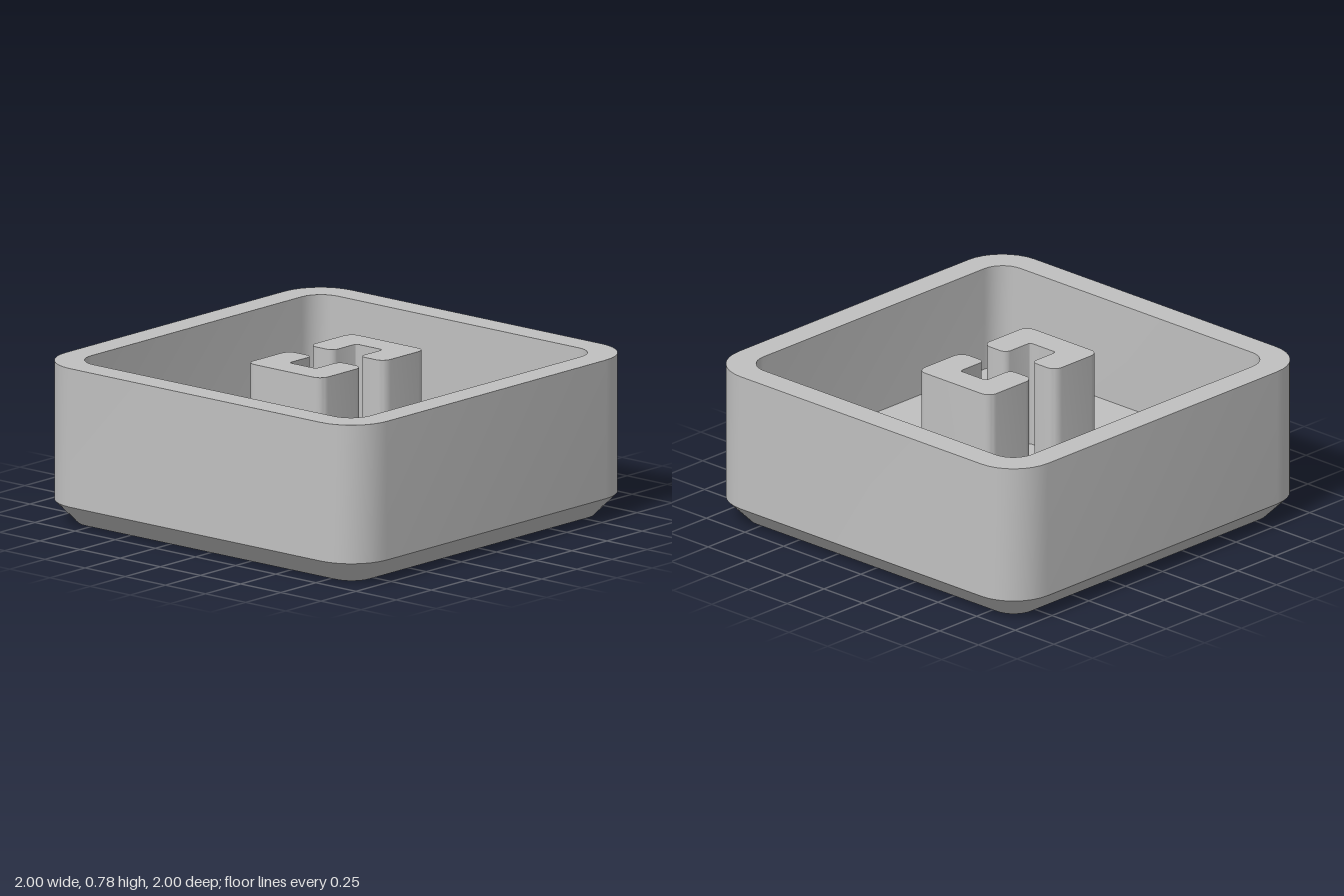
import * as THREE from 'three';
import { toCreasedNormals } from 'three/addons/utils/BufferGeometryUtils.js';

const grey = new THREE.MeshStandardMaterial({ color: 0xc0c0c0 });
grey.name = 'light grey';

// Outline of a right-angled polygon; each corner is [x, z, radius]
function filleted(corners, segments = 8) {
  const points = [];
  corners.forEach(([x, z, r], i) => {
    const n = corners.length;
    const p = new THREE.Vector2(x, z);
    const before = new THREE.Vector2(...corners[(i + n - 1) % n].slice(0, 2)).sub(p).normalize();
    const after = new THREE.Vector2(...corners[(i + 1) % n].slice(0, 2)).sub(p).normalize();
    const centre = p.clone().addScaledVector(before, r).addScaledVector(after, r);
    for (let k = 0; k <= segments; k++) {
      const t = (k / segments) * Math.PI / 2;
      points.push(centre.clone()
        .addScaledVector(after, -r * Math.cos(t))
        .addScaledVector(before, -r * Math.sin(t)));
    }
  });
  return points;
}

const square = (h, r) => filleted([[h, -h, r], [h, h, r], [-h, h, r], [-h, -h, r]]);

// Skin through a series of rounded squares [half size, corner radius, height]
function loft(rings) {
  const loops = rings.map(([h, r, y]) => square(h, r).map(p => [p.x, y, p.y]));
  const pos = [];
  for (let j = 0; j < loops.length - 1; j++) {
    const a = loops[j], b = loops[j + 1];
    for (let i = 0; i < a.length; i++) {
      const k = (i + 1) % a.length;
      pos.push(...a[i], ...b[i], ...a[k], ...a[k], ...b[i], ...b[k]);
    }
  }
  const geometry = new THREE.BufferGeometry();
  geometry.setAttribute('position', new THREE.Float32BufferAttribute(pos, 3));
  return toCreasedNormals(geometry, 0.6);
}

// Upright prism between two heights, with its outline in x and z
function prism(shape, bottom, top) {
  const geometry = new THREE.ExtrudeGeometry(shape, { depth: top - bottom, bevelEnabled: false });
  geometry.rotateX(Math.PI / 2).translate(0, top, 0);
  return toCreasedNormals(geometry, 0.6);
}

export function createModel() {
  const model = new THREE.Group();
  model.name = 'squareCap';
  const add = (name, geometry) => {
    const mesh = new THREE.Mesh(geometry, grey);
    mesh.name = name;
    model.add(mesh);
  };
  const height = 0.78, floorY = 0.27, recess = 0.045;

  // Chamfer, outer wall, rim and inner wall
  add('shell', loft([
    [0.89, 0.11, 0], [1, 0.22, 0.11], [1, 0.22, height],
    [0.87, 0.12, height], [0.87, 0.12, floorY],
  ]));
  add('innerFloor', new THREE.ShapeGeometry(new THREE.Shape(square(0.87, 0.12)))
    .rotateX(-Math.PI / 2).translate(0, floorY, 0));

  // Underside with four recessed bars of different lengths: [centre x, back end z]
  const base = new THREE.Shape(square(0.89, 0.11));
  const half = 0.153, front = 0.763;
  for (const [x, back] of [[0.733, -0.763], [0.245, -0.178], [-0.245, -0.463], [-0.733, 0.07]]) {
    base.holes.push(new THREE.Path([
      [x - half, back], [x - half, front], [x + half, front], [x + half, back],
    ].map(p => new THREE.Vector2(...p))));
  }
  add('underside', prism(base, 0, recess));
  add('recessCeiling', new THREE.ShapeGeometry(new THREE.Shape(square(0.89, 0.11)))
    .rotateX(Math.PI / 2).translate(0, recess, 0));

  // Pair of C-shaped posts facing each other
  for (const [name, s] of [['leftPost', 1], ['rightPost', -1]]) {
    const outline = filleted([
      [0.072, -0.233, 0.05], [0.372, -0.233, 0.05], [0.372, 0.233, 0.05], [0.072, 0.233, 0.05],
      [0.072, 0.083, 0.035], [0.238, 0.083, 0.015], [0.238, -0.083, 0.015], [0.072, -0.083, 0.035],
    ].map(([x, z, r]) => [s * x, z, r]));
    add(name, prism(new THREE.Shape(outline), floorY, height));
  }
  return model;
}
